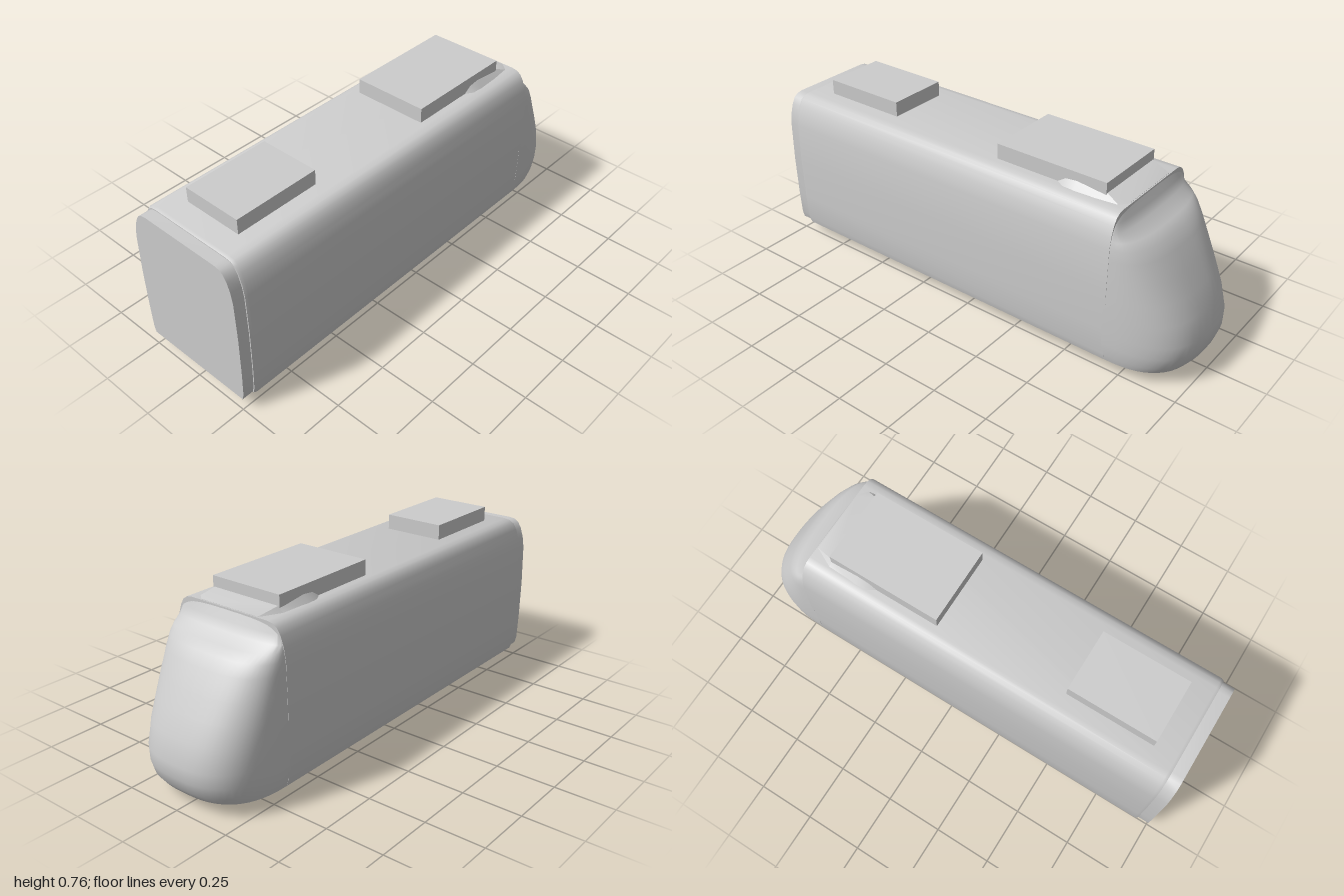
import * as THREE from 'three';
import { toCreasedNormals, mergeVertices } from 'three/addons/utils/BufferGeometryUtils.js';

const grey = new THREE.MeshStandardMaterial({ color: 0xcccccc });
grey.name = 'grey';

// right half of the car's cross-section, floor to roof
const HALF = [[0.262, 0.055], [0.27, 0.085], [0.275, 0.2], [0.278, 0.38], [0.274, 0.56],
  [0.266, 0.61], [0.252, 0.652], [0.236, 0.678], [0.216, 0.691], [0.19, 0.695]];

function section(sx = 1, y0 = 0.055, y1 = 0.695) {
  const fit = (y) => y0 + (y - 0.055) / 0.64 * (y1 - y0);
  return [...HALF.map(([x, y]) => [x * sx, fit(y)]),
    ...[...HALF].reverse().map(([x, y]) => [-x * sx, fit(y)])];
}

// joins closed cross-sections into a capped solid; rings run anticlockwise seen along their advance
function loft(rings, crease = 0.7) {
  const n = rings[0].length, index = [];
  const pos = rings.flat(2);
  for (let r = 0; r < rings.length - 1; r++) {
    for (let i = 0; i < n; i++) {
      const a = r * n + i, b = r * n + (i + 1) % n;
      index.push(a, b, b + n, a, b + n, a + n);
    }
  }
  const last = (rings.length - 1) * n;
  for (let i = 1; i < n - 1; i++) {
    index.push(0, i + 1, i, last, last + i, last + i + 1);
  }
  const g = new THREE.BufferGeometry();
  g.setAttribute('position', new THREE.Float32BufferAttribute(pos, 3));
  g.setIndex(index);
  return toCreasedNormals(mergeVertices(g, 1e-5), crease);
}

const atZ = (points, z) => points.map(([x, y]) => [x, y, z]);

export function createModel() {
  const group = new THREE.Group();
  const add = (name, geometry, x = 0, y = 0, z = 0) => {
    const mesh = new THREE.Mesh(geometry, grey);
    mesh.name = name;
    mesh.position.set(x, y, z);
    group.add(mesh);
    return mesh;
  };

  // main body shell with a slightly bevelled open end
  add('body', loft([
    atZ(section(), -0.69),
    atZ(section(), 0.938),
    atZ(section(0.985, 0.058, 0.69), 0.95),
  ]));

  // recessed coupling end
  add('endPanel', loft([
    atZ(section(0.968, 0.06, 0.686), 0.94),
    atZ(section(0.968, 0.06, 0.686), 1),
  ]));

  // streamlined nose: height, foremost z, half width of each level
  const levels = [[0.055, -0.96, 0.262], [0.085, -0.983, 0.269], [0.135, -0.999, 0.273],
    [0.19, -1, 0.275], [0.28, -0.973, 0.277], [0.36, -0.935, 0.277], [0.44, -0.893, 0.276],
    [0.52, -0.848, 0.274], [0.565, -0.817, 0.272], [0.595, -0.782, 0.267], [0.62, -0.724, 0.261],
    [0.655, -0.706, 0.246], [0.692, -0.688, 0.205]];
  const steps = 28, power = 2 / 2.7, back = -0.68;
  const noseRings = levels.map(([y, front, w]) => {
    const ring = [];
    for (let i = 0; i <= steps; i++) {
      const t = Math.PI * i / steps;
      const c = Math.cos(t), s = Math.max(0, Math.sin(t));
      ring.push([Math.sign(c) * Math.abs(c) ** power * w, y,
        back + (front - back) * s ** power]);
    }
    return ring;
  });
  add('nose', loft(noseRings, 0.9));

  // roof equipment boxes
  add('rearRoofUnit', new THREE.BoxGeometry(0.27, 0.075, 0.38), 0, 0.7225, 0.655);
  add('mainRoofUnit', new THREE.BoxGeometry(0.334, 0.075, 0.5), 0, 0.7225, -0.35);

  // low fairing around the main roof unit: z, half base, half top, height
  const fairing = [[-0.685, 0.185, 0.14, 0.696], [-0.6, 0.195, 0.16, 0.716], [-0.47, 0.2, 0.167, 0.724],
    [-0.42, 0.198, 0.167, 0.718], [-0.375, 0.172, 0.16, 0.695]];
  add('roofFairing', loft(fairing.map(([z, b, t, y]) =>
    atZ([[b, 0.685], [t, y], [-t, y], [-b, 0.685]], z)), 0.5));

  // underfloor plate and the visible lower halves of the wheels
  add('underfloorPlate', new THREE.BoxGeometry(0.376, 0.008, 0.5), 0, 0.056, 0.165);
  const wheelShape = new THREE.Shape([[-0.055, 0.06], [-0.055, 0.05], [-0.04, 0.016], [0, 0],
    [0.04, 0.016], [0.055, 0.05], [0.055, 0.06]].map(([x, y]) => new THREE.Vector2(x, y)));
  const wheel = new THREE.ExtrudeGeometry(wheelShape, { depth: 0.02, bevelEnabled: false });
  wheel.translate(0, 0, -0.01).rotateY(Math.PI / 2);
  for (const x of [-0.158, 0.158]) {
    for (const z of [-0.025, 0.355]) add('wheel', wheel, x, 0, z);
  }
  return group;
}
